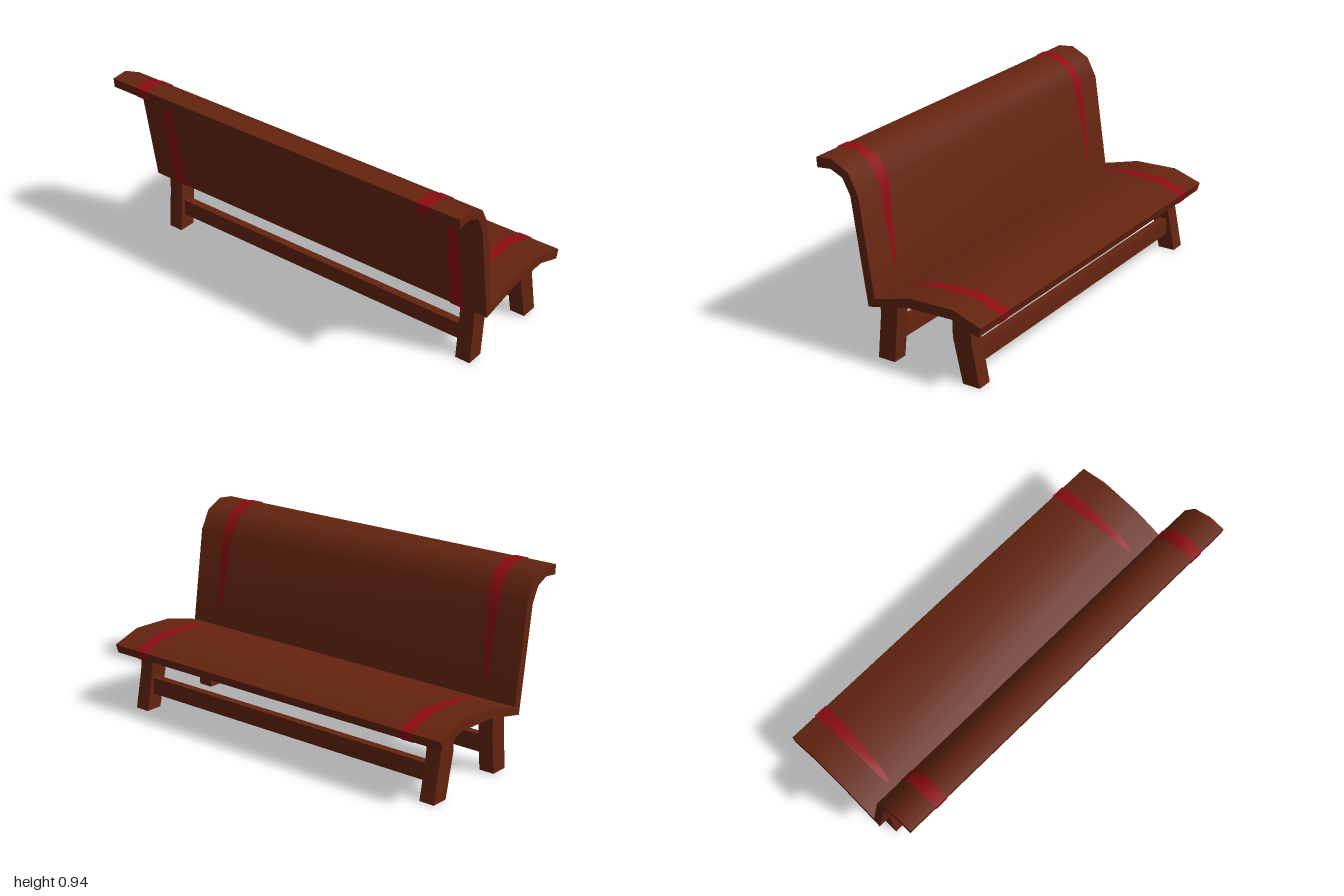
import * as THREE from 'three';
import { toCreasedNormals } from 'three/addons/utils/BufferGeometryUtils.js';

const CREASE = 0.9;
const wood = new THREE.MeshStandardMaterial({ color: 0x64240f });
wood.name = 'brownWood';
const red = new THREE.MeshStandardMaterial({ color: 0x8c0c10, side: THREE.DoubleSide });
red.name = 'redPaint';

// Extrude a side profile of [z, y] points across x, centred on x = cx
function slab(name, profile, width, cx = 0) {
  const shape = new THREE.Shape(profile.map(([z, y]) => new THREE.Vector2(z, y)));
  const geo = new THREE.ExtrudeGeometry(shape, { depth: width, bevelEnabled: false });
  geo.translate(0, 0, -width / 2).rotateY(-Math.PI / 2).translate(cx, 0, 0);
  const mesh = new THREE.Mesh(toCreasedNormals(geo, CREASE), wood);
  mesh.name = name;
  return mesh;
}

// Painted band laid just above the surface; points are [z, y, innerX, outerX]
function stripe(name, pts, side) {
  const lift = 0.003;
  const normal = (a, b) => new THREE.Vector2(a[1] - b[1], b[0] - a[0]).normalize();
  const pos = [], index = [];
  pts.forEach((p, i) => {
    const n0 = normal(pts[Math.max(i - 1, 0)], pts[Math.max(i, 1)]);
    const last = pts.length - 1;
    const n1 = normal(pts[Math.min(i, last - 1)], pts[Math.min(i + 1, last)]);
    const n = n0.clone().add(n1).normalize();
    n.multiplyScalar(lift / n.dot(n0));
    const [z, y] = [p[0] + n.x, p[1] + n.y];
    pos.push(side * p[2], y, z, side * p[3], y, z);
    if (i < last) {
      const k = i * 2;
      if (side > 0) index.push(k, k + 2, k + 1, k + 1, k + 2, k + 3);
      else index.push(k, k + 1, k + 2, k + 1, k + 3, k + 2);
    }
  });
  const geo = new THREE.BufferGeometry();
  geo.setAttribute('position', new THREE.Float32BufferAttribute(pos, 3));
  geo.setIndex(index);
  const mesh = new THREE.Mesh(toCreasedNormals(geo, CREASE), red);
  mesh.name = name;
  return mesh;
}

export function createModel() {
  const bench = new THREE.Group();
  bench.name = 'bench';

  // Curved seat and rolled backrest in one continuous board
  bench.add(slab('seatAndBackrest', [
    [0.17, 0.283], [0.247, 0.79], [0.287, 0.865], [0.35, 0.893], [0.423, 0.886],
    [0.427, 0.933], [0.345, 0.94], [0.255, 0.895], [0.205, 0.80], [0.135, 0.33],
    [-0.058, 0.38], [-0.28, 0.385], [-0.427, 0.335], [-0.412, 0.29],
    [-0.275, 0.338], [-0.06, 0.333],
  ], 2));

  // Bent legs and painted bands, mirrored left and right
  for (const side of [1, -1]) {
    const tag = side > 0 ? 'Left' : 'Right';
    bench.add(slab('backrestLeg' + tag, [
      [0.16, 0.29], [0.16, 0.215], [0.18, 0], [0.09, 0], [0.07, 0.215], [0.07, 0.31],
    ], 0.078, side * 0.889));
    bench.add(slab('seatLeg' + tag, [
      [-0.23, 0.345], [-0.23, 0.215], [-0.28, 0], [-0.368, 0], [-0.325, 0.215], [-0.325, 0.33],
    ], 0.078, side * 0.889));

    bench.add(stripe('backrestStripe' + tag, [
      [0.150, 0.43, 0.82, 0.84], [0.172, 0.58, 0.808, 0.845], [0.190, 0.70, 0.797, 0.849],
      [0.205, 0.80, 0.785, 0.85], [0.255, 0.895, 0.78, 0.85], [0.345, 0.94, 0.78, 0.85],
      [0.427, 0.933, 0.78, 0.85], [0.423, 0.886, 0.78, 0.85],
    ], side));
    bench.add(stripe('seatStripe' + tag, [
      [-0.412, 0.29, 0.78, 0.85], [-0.427, 0.335, 0.78, 0.85], [-0.28, 0.385, 0.784, 0.85],
      [-0.058, 0.38, 0.804, 0.847], [0, 0.365, 0.813, 0.844], [0.06, 0.3494, 0.825, 0.838],
    ], side));
    bench.add(stripe('rearStripe' + tag, [
      [0.268, 0.83, 0.822, 0.845], [0.247, 0.79, 0.818, 0.855], [0.2333, 0.70, 0.812, 0.868],
      [0.203, 0.50, 0.806, 0.877], [0.17, 0.283, 0.804, 0.877], [0.05, 0.309, 0.812, 0.862],
      [-0.04, 0.3287, 0.825, 0.84],
    ], side));
  }

  // Long rails joining each pair of legs
  for (const [name, z] of [['backrestRail', 0.125], ['seatRail', -0.3]]) {
    const rail = new THREE.Mesh(new THREE.BoxGeometry(1.72, 0.085, 0.04), wood);
    rail.position.set(0, 0.122, z);
    rail.name = name;
    bench.add(rail);
  }
  return bench;
}
